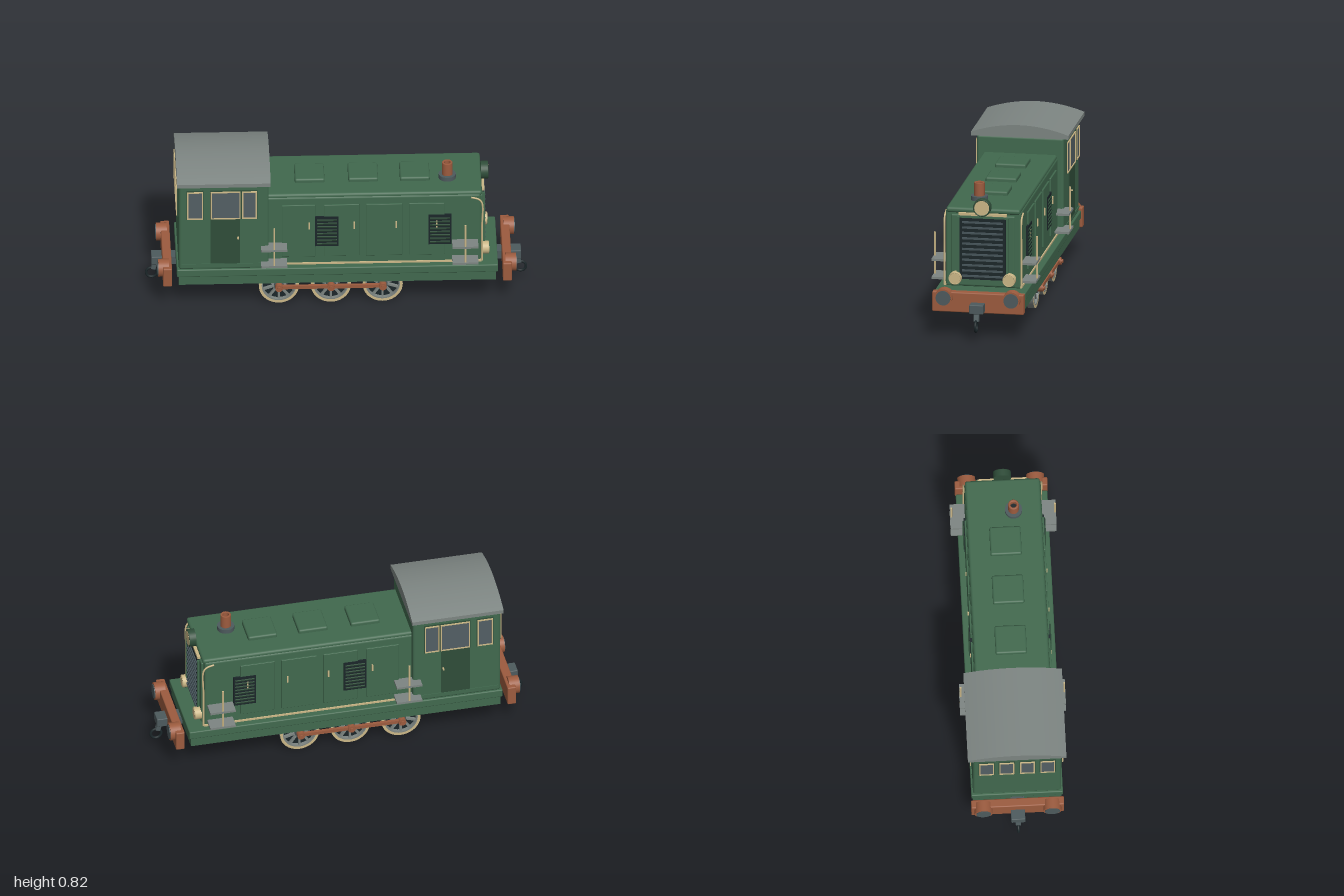
import * as THREE from 'three';
import { RoundedBoxGeometry } from 'three/addons/geometries/RoundedBoxGeometry.js';

const mat = (name, color) =>
  Object.assign(new THREE.MeshStandardMaterial({ color }), { name });

export function createModel() {
  const green = mat('body green', 0x41694e), deep = mat('door green', 0x2f4d39);
  const grey = mat('roof grey', 0x7d8582), steel = mat('dark steel', 0x4d5a5d);
  const black = mat('grille black', 0x1b2629), rust = mat('rust red', 0x9c5b3e);
  const cream = mat('cream', 0xcbb787), glass = mat('window glass', 0x535f64);
  const slatMat = mat('slat grey', 0x46545a);

  const model = new THREE.Group();
  model.name = 'locomotive';

  const add = (name, geo, material, parent = model) => {
    const m = new THREE.Mesh(geo, material);
    m.name = name;
    parent.add(m);
    return m;
  };
  // box given by its limits; r rounds the edges
  const box = (name, x0, x1, y0, y1, z0, z1, material, r = 0, parent = model) => {
    const s = [Math.abs(x1 - x0), Math.abs(y1 - y0), Math.abs(z1 - z0)];
    const geo = r ? new RoundedBoxGeometry(...s, 2, r) : new THREE.BoxGeometry(...s);
    const m = add(name, geo, material, parent);
    m.position.set((x0 + x1) / 2, (y0 + y1) / 2, (z0 + z1) / 2);
    return m;
  };
  // cylinder centred at a point, along axis x, y or z
  const cyl = (name, axis, x, y, z, r, len, material, parent = model) => {
    const geo = new THREE.CylinderGeometry(r, r, len, 32);
    if (axis === 'x') geo.rotateZ(Math.PI / 2);
    if (axis === 'z') geo.rotateX(Math.PI / 2);
    const m = add(name, geo, material, parent);
    m.position.set(x, y, z);
    return m;
  };
  const group = (name) => {
    const g = new THREE.Group();
    g.name = name;
    model.add(g);
    return g;
  };

  // Frame with a black underside
  box('frame', -0.83, 0.83, 0.145, 0.2, -0.232, 0.232, [green, green, green, black, green, green]);
  box('runningBoard', -0.84, 0.84, 0.195, 0.24, -0.24, 0.24, green, 0.006);

  // Engine hood
  box('hood', -0.37, 0.75, 0.235, 0.65, -0.2, 0.2, green, 0.012);
  box('hoodTop', -0.37, 0.758, 0.636, 0.666, -0.196, 0.196, green, 0.013);
  for (const x of [-0.14, 0.14, 0.41])
    box('roofHatch', x - 0.078, x + 0.078, 0.655, 0.688, -0.082, 0.082, green, 0.01);

  // Chimney: flanged base and hollow pipe
  cyl('chimneyBase', 'y', 0.58, 0.676, 0.05, 0.045, 0.026, steel);
  const pipe = [[0.028, 0.68], [0.028, 0.757], [0.026, 0.76], [0.018, 0.76], [0.016, 0.757], [0.016, 0.7]];
  add('chimney', new THREE.LatheGeometry(pipe.map(p => new THREE.Vector2(...p)), 32), rust)
    .position.set(0.58, 0, 0.05);
  cyl('chimneyBore', 'y', 0.58, 0.715, 0.05, 0.0165, 0.03, black);

  // Radiator at the nose
  const nose = group('radiator');
  box('radiatorSurround', 0.74, 0.762, 0.245, 0.63, -0.17, 0.17, green, 0.008, nose);
  box('radiatorCore', 0.75, 0.77, 0.283, 0.612, -0.122, 0.122, black, 0, nose);
  for (let i = 0; i < 11; i++) {
    const y = 0.302 + i * 0.029;
    box('radiatorSlat', 0.765, 0.777, y - 0.005, y + 0.005, -0.108, 0.108, slatMat, 0, nose);
  }
  box('radiatorTrim', 0.755, 0.772, 0.628, 0.641, -0.128, 0.128, cream, 0, nose);
  for (const s of [-1, 1])
    box('radiatorPost', 0.75, 0.775, 0.25, 0.62, s * 0.125, s * 0.137, green, 0, nose);

  // Lamps
  const lamp = (name, x, y, z, r, shell) => {
    cyl(name + 'Shell', 'x', x, y, z, r, 0.034, shell);
    cyl(name + 'Glass', 'x', x + 0.014, y, z, r * 0.84, 0.014, cream);
    const rim = add(name + 'Rim', new THREE.TorusGeometry(r * 0.92, r * 0.08, 8, 32), shell);
    rim.rotation.y = Math.PI / 2;
    rim.position.set(x + 0.017, y, z);
  };
  lamp('headlamp', 0.775, 0.677, 0, 0.047, deep);
  for (const s of [-1, 1]) lamp('markerLamp', 0.775, 0.29, s * 0.143, 0.034, cream);

  // Cab and arched roof
  box('cab', -0.83, -0.36, 0.235, 0.757, -0.231, 0.231, green, 0.014);
  const arch = new THREE.Shape();
  arch.moveTo(-0.258, 0.754);
  arch.lineTo(0.258, 0.754);
  arch.lineTo(0.258, 0.775);
  arch.quadraticCurveTo(0, 0.867, -0.258, 0.775);
  const roof = add('cabRoof', new THREE.ExtrudeGeometry(arch, { depth: 0.49, bevelEnabled: false, curveSegments: 24 }), grey);
  roof.rotation.y = Math.PI / 2;
  roof.position.x = -0.84;

  // Window: dark surround, cream frame with an opening, glass; faces +z locally
  const windowUnit = (w, h) => {
    const g = group('window');
    box('windowSurround', -w / 2, w / 2, -h / 2, h / 2, -0.005, 0.007, deep, 0, g);
    const s = new THREE.Shape();
    const rect = (p, a, b) => p.moveTo(-a, -b).lineTo(a, -b).lineTo(a, b).lineTo(-a, b).closePath();
    const a = w / 2 - 0.004, b = h / 2 - 0.004;
    rect(s, a, b);
    const hole = new THREE.Path();
    rect(hole, a - 0.006, b - 0.006);
    s.holes.push(hole);
    add('windowFrame', new THREE.ExtrudeGeometry(s, { depth: 0.009, bevelEnabled: false }), cream, g).position.z = 0.004;
    box('windowGlass', -a + 0.006, a - 0.006, -b + 0.006, b - 0.006, 0.002, 0.009, glass, 0, g);
    return g;
  };
  for (const z of [-0.16, -0.054, 0.054, 0.16]) {
    const w = windowUnit(0.085, 0.17);
    w.position.set(-0.83, 0.632, z);
    w.rotation.y = -Math.PI / 2;
  }

  for (const s of [-1, 1]) {
    // Cab side windows and door
    for (const [x0, x1] of [[-0.79, -0.70], [-0.667, -0.503], [-0.503, -0.418]]) {
      const w = windowUnit(x1 - x0, 0.175);
      w.position.set((x0 + x1) / 2, 0.634, s * 0.231);
      if (s < 0) w.rotation.y = Math.PI;
    }
    box('cabDoor', -0.665, -0.51, 0.275, 0.546, s * 0.225, s * 0.237, deep);
    cyl('doorHandle', 'z', -0.52, 0.435, s * 0.243, 0.005, 0.02, cream);
    box('cabSill', -0.815, -0.375, 0.262, 0.272, s * 0.228, s * 0.235, green);

    // Hood doors with handles
    [[-0.29, -0.115], [-0.07, 0.115], [0.15, 0.34], [0.375, 0.56]].forEach(([x0, x1], i) => {
      box('hoodDoor', x0, x1, 0.29, 0.605, s * 0.195, s * 0.208, green, 0.003);
      const hx = [-0.147, 0.088, 0.307, 0.521][i];
      box('hoodDoorHandle', hx - 0.004, hx + 0.004, 0.46, 0.5, s * 0.2, s * 0.214, cream);
    });

    // Louvres
    for (const x of [-0.055, 0.537]) {
      box('louvrePanel', x - 0.061, x + 0.061, 0.355, 0.535, s * 0.2, s * 0.211, black);
      for (let i = 0; i < 8; i++) {
        const slat = box('louvreSlat', x - 0.052, x + 0.052, 0.366 + i * 0.0205, 0.375 + i * 0.0205, s * 0.207, s * 0.215, deep);
        slat.rotation.x = s * 0.4;
      }
    }

    // Cream trim and nose rail
    box('hoodTrim', -0.36, 0.755, 0.241, 0.251, s * 0.196, s * 0.206, cream);
    const pts = [[0.7, 0.634], [0.74, 0.622], [0.757, 0.6], [0.757, 0.45], [0.757, 0.247]];
    const rail = new THREE.CatmullRomCurve3(pts.map(([x, y]) => new THREE.Vector3(x, y, s * 0.204)), false, 'centripetal');
    add('noseRail', new THREE.TubeGeometry(rail, 24, 0.005, 8), cream);

    // Steps with grab posts
    for (const x of [-0.332, 0.668]) {
      box('upperStep', x - 0.068, x + 0.068, 0.364, 0.376, s * 0.195, s * 0.277, grey);
      box('lowerStep', x - 0.068, x + 0.068, 0.266, 0.278, s * 0.195, s * 0.277, grey);
      cyl('grabPost', 'y', x, 0.385, s * 0.271, 0.005, 0.24, cream);
    }

    // Axle frame plate
    box('axleFrame', -0.385, 0.375, 0.13, 0.15, s * 0.12, s * 0.165, deep, 0.008);

    // Wheels with spokes, then the coupling rod
    for (const wx of [-0.305, -0.033, 0.238]) {
      const wheel = group('wheel');
      wheel.position.set(wx, 0.105, s * 0.155);
      if (s < 0) wheel.rotation.y = Math.PI;
      const prof = [[0, 0], [0.105, 0], [0.105, 0.036], [0.084, 0.036], [0.084, 0.012]];
      const geo = new THREE.LatheGeometry(prof.map(p => new THREE.Vector2(...p)), 40).toNonIndexed();
      geo.computeVertexNormals();
      geo.rotateX(Math.PI / 2);
      add('wheelRim', geo, grey, wheel);
      cyl('wheelWell', 'z', 0, 0, 0.01, 0.086, 0.008, black, wheel);
      add('tyre', new THREE.RingGeometry(0.09, 0.105, 40), cream, wheel).position.z = 0.0368;
      for (let i = 0; i < 10; i++) {
        const spoke = add('spoke', new THREE.BoxGeometry(0.072, 0.011, 0.016).translate(0.05, 0, 0.022), grey, wheel);
        spoke.rotation.z = (i + 0.5) * Math.PI / 5;
      }
      cyl('hub', 'z', 0, 0, 0.026, 0.026, 0.036, steel, wheel);
      cyl('crankPin', 'z', wx, 0.108, s * 0.212, 0.02, 0.036, rust);
      cyl('pinCap', 'z', wx, 0.108, s * 0.232, 0.011, 0.012, rust);
    }
    box('couplingRod', -0.305, 0.238, 0.1, 0.118, s * 0.205, s * 0.222, rust);
  }
  for (const x of [-0.305, -0.033, 0.238]) cyl('axle', 'z', x, 0.135, 0, 0.012, 0.3, black);

  // End beams, bumpers and couplings at both ends
  for (const e of [-1, 1]) {
    box('endBeam', e * 0.865, e * 0.912, 0.14, 0.248, -0.243, 0.243, rust, 0.006);
    box('drawbar', e * 0.82, e * 0.9, 0.15, 0.195, -0.035, 0.035, steel);
    for (const s of [-1, 1]) {
      cyl('bumper', 'x', e * 0.908, 0.22, s * 0.18, 0.047, 0.056, rust);
      cyl('bumperFace', 'x', e * 0.935, 0.22, s * 0.18, 0.039, 0.01, steel);
    }
    box('couplerBlock', e * 0.9, e * 0.967, 0.148, 0.197, -0.037, 0.037, steel, 0.004);
    const link = box('couplerLink', e * 0.938, e * 0.964, 0.104, 0.155, -0.014, 0.014, steel, 0.004);
    link.rotation.z = e * 0.25;
    add('couplerRing', new THREE.TorusGeometry(0.028, 0.007, 10, 28), black).position.set(e * 0.965, 0.083, 0);
  }
  return model;
}
